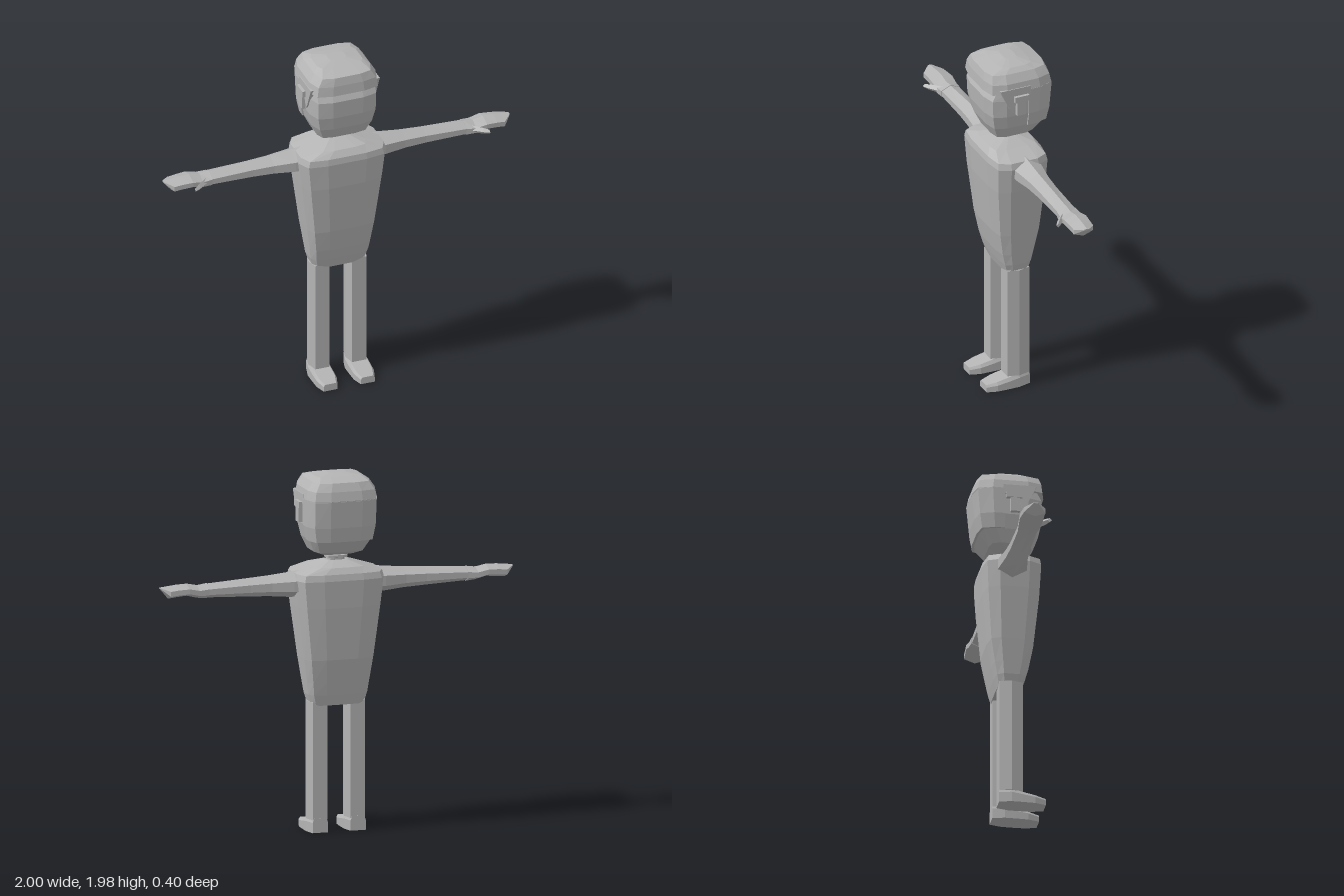
import * as THREE from 'three';

// Joins cross-sections (each counter-clockwise about the advance direction) into a closed flat-shaded solid
function loft(sections, side = 1) {
  const rings = side > 0 ? sections : sections.map(r => r.map(([x, y, z]) => [-x, y, z]).reverse());
  const out = [];
  const tri = (a, b, c) => out.push(...a, ...b, ...c);
  const n = rings[0].length;
  const centre = r => [0, 1, 2].map(k => r.reduce((s, p) => s + p[k], 0) / n);
  const last = rings[rings.length - 1];
  const c0 = centre(rings[0]), c1 = centre(last);
  for (let i = 0; i < n; i++) {
    const j = (i + 1) % n;
    for (let k = 0; k + 1 < rings.length; k++) {
      const a = rings[k], b = rings[k + 1];
      tri(a[i], a[j], b[j]);
      tri(a[i], b[j], b[i]);
    }
    tri(c0, rings[0][j], rings[0][i]);
    tri(c1, last[i], last[j]);
  }
  const g = new THREE.BufferGeometry();
  g.setAttribute('position', new THREE.Float32BufferAttribute(out, 3));
  g.computeVertexNormals();
  return g;
}

// Horizontal ring with softened corners: height, half width, front z, back z
const quarter = [[0.45, 1], [0.87, 0.9], [1, 0.5]];
function slab([y, hx, zf, zb]) {
  const c = (zf + zb) / 2, d = (zf - zb) / 2;
  const half = [...quarter, ...quarter.map(([x, z]) => [x, -z]).reverse()];
  const full = [...half, ...half.map(([x, z]) => [-x, z]).reverse()];
  return full.map(([x, z]) => [x * hx, y, c + z * d]);
}

// Arm ring with a ridge above and below: x, top y, bottom y, half depth
function hexRing([x, top, bottom, d]) {
  const m = (top + bottom) / 2, h = (top - bottom) * 0.2;
  return [[x, top, 0], [x, m + h, d], [x, m - h, d], [x, bottom, 0], [x, m - h, -d], [x, m + h, -d]];
}

export function createModel() {
  const root = new THREE.Group();
  const grey = new THREE.MeshStandardMaterial({ color: 0xb4b4b4, flatShading: true });
  grey.name = 'plain grey';
  const add = (name, geometry) => {
    const mesh = new THREE.Mesh(geometry, grey);
    mesh.name = name;
    root.add(mesh);
    return mesh;
  };

  // Torso with sloping shoulders
  add('torso', loft([
    [0.70, 0.15, 0.075, -0.06], [0.76, 0.167, 0.095, -0.075], [0.83, 0.177, 0.115, -0.09],
    [0.96, 0.196, 0.14, -0.115], [1.25, 0.233, 0.17, -0.14], [1.40, 0.25, 0.178, -0.148],
    [1.435, 0.24, 0.172, -0.14], [1.467, 0.14, 0.142, -0.115], [1.495, 0.06, 0.05, -0.04],
  ].map(slab)));

  // Neck with a narrow collar
  add('neck', loft([
    [1.47, 0.045, 0.04, -0.03], [1.505, 0.045, 0.04, -0.03], [1.507, 0.06, 0.045, -0.035],
    [1.52, 0.06, 0.045, -0.035], [1.522, 0.04, 0.035, -0.025], [1.55, 0.04, 0.035, -0.025],
  ].map(slab)));

  // Head and jaw
  add('head', loft([
    [1.528, 0.09, 0.08, -0.05], [1.55, 0.14, 0.135, -0.10], [1.62, 0.172, 0.168, -0.155],
    [1.70, 0.19, 0.185, -0.17], [1.80, 0.192, 0.19, -0.182], [1.85, 0.19, 0.165, -0.18],
    [1.92, 0.16, 0.14, -0.15],
  ].map(slab)));

  // Hair: overhanging cap, then a shell down the back of the head
  add('hairCap', loft([
    [1.845, 0.2, 0.196, -0.196], [1.90, 0.19, 0.19, -0.185], [1.945, 0.16, 0.178, -0.165],
    [1.965, 0.13, 0.10, -0.09], [1.977, 0.05, 0.04, -0.03],
  ].map(slab)));
  add('backHair', loft([
    [1.62, 0.182, -0.168], [1.70, 0.197, -0.182], [1.85, 0.2, -0.196],
  ].map(([y, hx, zb]) => {
    const half = [[1, -0.03], [1, zb * 0.5], [0.87, zb * 0.9], [0.45, zb]];
    return [...half, ...half.map(([x, z]) => [-x, z]).reverse()].map(([x, z]) => [x * hx, y, z]);
  })));

  // Hexagonal plan shared by legs and heels
  const legPlan = [[0.065, 0.075], [0.148, 0.075], [0.165, 0.01], [0.148, -0.055], [0.065, -0.055], [0.05, 0.01]];

  for (const side of [1, -1]) {
    const label = side > 0 ? 'left' : 'right';

    // Side lock in front of the ear
    const lock = [[1.87, -0.04], [1.87, 0.14], [1.75, 0.085], [1.725, 0.065], [1.80, 0.04], [1.82, -0.04]];
    add(label + 'SideLock', loft([0.165, 0.2].map(x => lock.map(([y, z]) => [x, y, z])), side));

    // Ear: a wide upper rim over a narrow lobe
    const rim = new THREE.BoxGeometry(0.035, 0.035, 0.085);
    add(label + 'EarRim', rim).position.set(side * 0.2, 1.808, 0.018);
    const lobe = new THREE.BoxGeometry(0.035, 0.1, 0.05);
    add(label + 'EarLobe', lobe).position.set(side * 0.197, 1.76, 0.022);

    // Arm tapering to the wrist
    add(label + 'Arm', loft([
      [0.20, 1.447, 1.30, 0.08], [0.26, 1.44, 1.30, 0.077], [0.38, 1.428, 1.312, 0.06],
      [0.50, 1.42, 1.318, 0.053], [0.735, 1.405, 1.328, 0.052],
    ].map(hexRing), side));

    // Flat hand pointed at the fingertips
    add(label + 'Hand', loft([
      [0.735, 1.408, 1.324, 0.055], [0.79, 1.40, 1.33, 0.06], [0.85, 1.412, 1.345, 0.064],
      [0.91, 1.41, 1.34, 0.06], [0.955, 1.405, 1.335, 0.058], [1.0, 1.40, 1.39, 0.012],
    ].map(hexRing), side));

    // Thumb reaching forward and outward
    add(label + 'Thumb', loft([
      [0.76, 0.03, 0.022], [0.82, 0.078, 0.018], [0.85, 0.10, 0.012],
    ].map(([x, z, r]) => [[x, 1.368 + r, z], [x, 1.368, z + r], [x, 1.368 - r, z], [x, 1.368, z - r]]), side));

    // Leg
    add(label + 'Leg', loft([0.07, 0.72].map(y => legPlan.map(([x, z]) => [x, y, z])), side));

    // Foot with a low narrowing toe
    add(label + 'Foot', loft([
      [-0.057, 0.043, 0.08], [0.01, 0.06, 0.08], [0.07, 0.06, 0.066], [0.14, 0.058, 0.052], [0.2, 0.04, 0.04],
    ].map(([z, w, h]) => {
      const c = 0.1075;
      return [[c + w, 0, z], [c + w, h * 0.7, z], [c + w * 0.8, h, z],
        [c - w * 0.8, h, z], [c - w, h * 0.7, z], [c - w, 0, z]];
    }), side));
  }
  return root;
}
